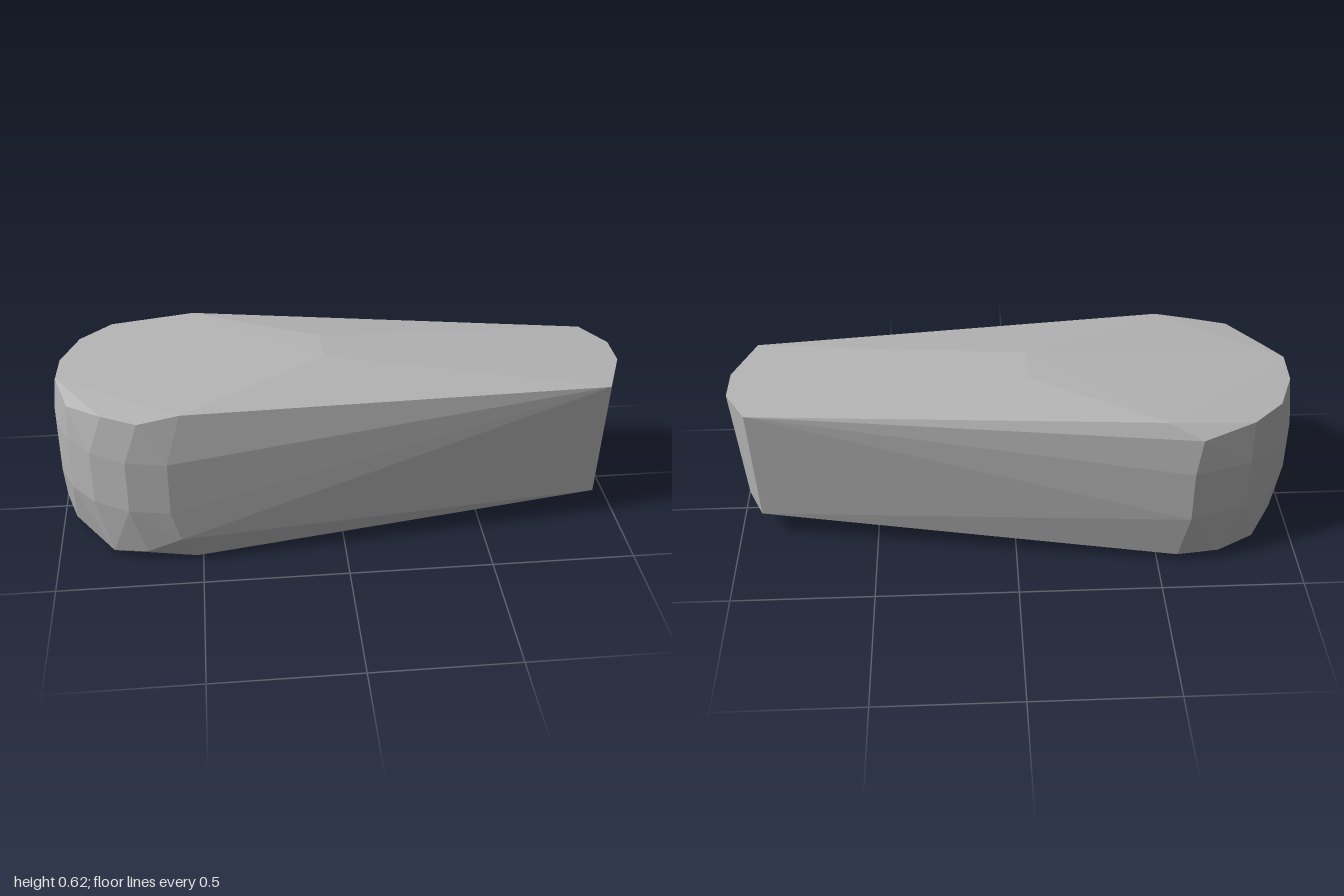
import * as THREE from 'three';
import { ConvexGeometry } from 'three/addons/geometries/ConvexGeometry.js';

// Faceted tapered block: a convex shell stretched over a few level rings.
export function createModel() {
  const group = new THREE.Group();
  group.name = 'taperedBlock';
  const points = [];
  const add = (x, y, z) => points.push(new THREE.Vector3(x, y, z));
  const ring = (list) => list.forEach((p) => add(...p));

  // Narrow end: slightly tilted, four-sided nose
  ring([
    [0.925, 0.553, 0.265], [1, 0.553, 0.075], [1, 0.553, -0.055], [0.925, 0.553, -0.185],
    [0.915, 0.1, 0.23], [0.972, 0.1, 0.07], [0.972, 0.1, -0.03], [0.915, 0.1, -0.155],
  ]);

  // Crest of the top
  add(-0.05, 0.62, 0.07);
  add(-0.05, 0.618, -0.085);

  // Upper rim of the wide end
  ring([
    [-0.55, 0.586, 0.366], [-0.69, 0.56, 0.368], [-0.81, 0.567, 0.315], [-0.93, 0.545, 0.2],
    [-0.975, 0.578, 0.065], [-0.97, 0.575, -0.07], [-0.91, 0.577, -0.22],
    [-0.8, 0.578, -0.325], [-0.62, 0.55, -0.386], [-0.5, 0.6, -0.345],
  ]);

  // Widest belt of the wide end, straight-walled between two heights
  const belt = [
    [-0.6, 0.397], [-0.74, 0.372], [-0.86, 0.3], [-0.94, 0.2], [-0.985, 0.09],
    [-1, -0.01], [-0.98, -0.11], [-0.92, -0.23], [-0.8, -0.335], [-0.6, -0.398],
  ];
  for (const [x, z] of belt) {
    add(x, 0.415, z);
    add(x, 0.22, z);
  }

  // Lower rim and underside
  ring([
    [-0.57, 0.105, 0.392], [-0.52, 0.01, 0.36], [-0.69, 0.04, 0.36], [-0.81, 0.012, 0.305],
    [-0.955, 0.015, 0.09], [-0.985, 0.07, 0.03], [-0.955, 0.015, -0.09], [-0.86, 0.012, -0.25],
    [-0.72, 0.03, -0.345], [-0.57, 0.032, -0.365], [-0.5, 0.003, -0.315],
    [-0.25, 0, 0.265], [-0.25, 0, -0.25],
  ]);

  const material = new THREE.MeshStandardMaterial({ color: 0xb4b4b4 });
  material.name = 'stoneGrey';
  const body = new THREE.Mesh(new ConvexGeometry(points), material);
  body.name = 'body';
  group.add(body);
  return group;
}
